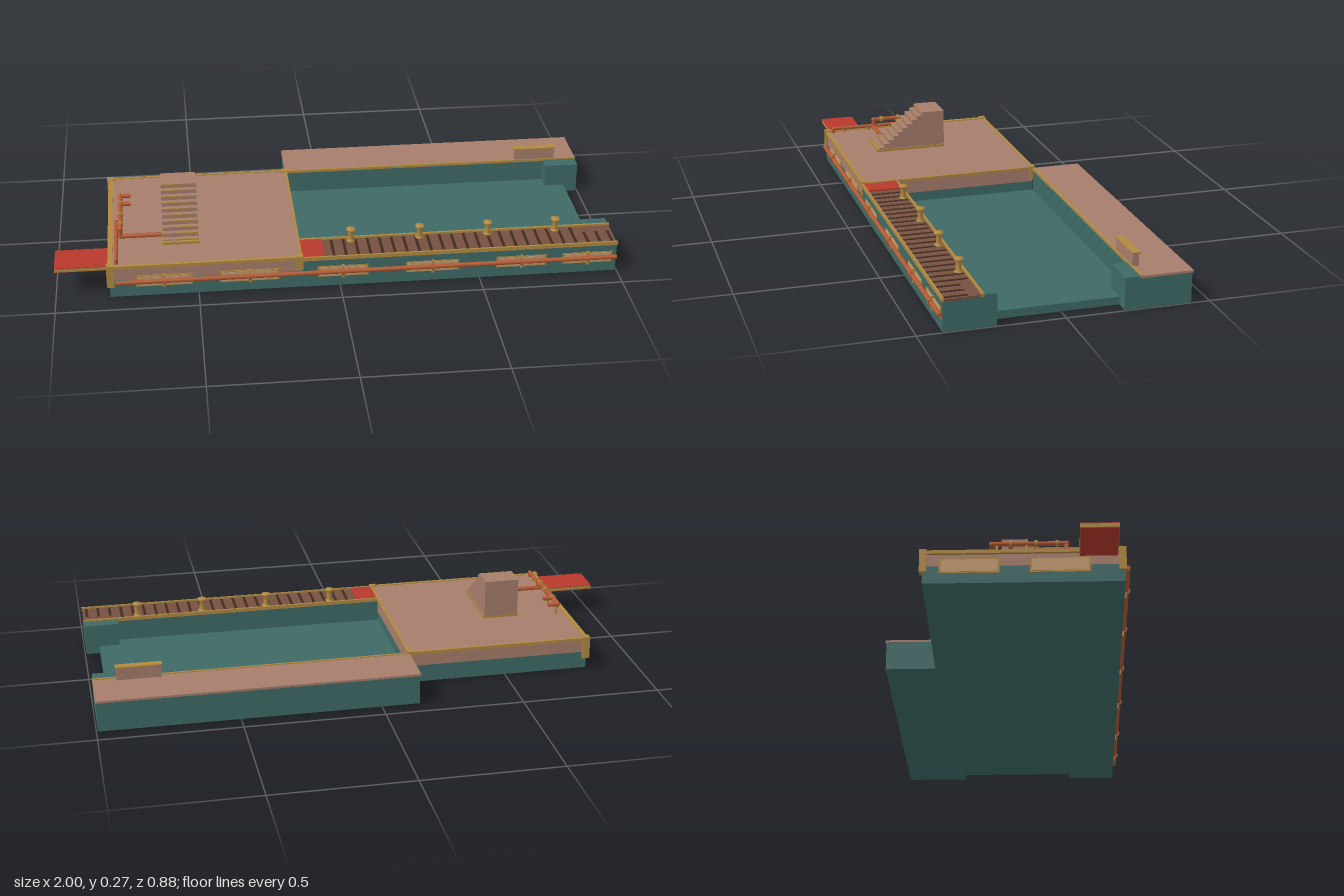
import * as THREE from 'three';

export function createModel() {
  const root = new THREE.Group();
  const mat = (name, color) => {
    const m = new THREE.MeshStandardMaterial({ color });
    m.name = name;
    return m;
  };
  const teal = mat('teal hull', 0x3e6a66);
  const clay = mat('clay deck', 0xa67d6c);
  const gold = mat('gold trim', 0xb08840);
  const rust = mat('rust pipe', 0xb25a32);
  const red = mat('red ramp', 0xb8382c);
  const brown = mat('brown planks', 0x75503f);
  const dark = mat('dark gaps', 0x402a20);
  const tan = mat('tan panels', 0xc29a70);

  // Box given by its limits on each axis
  const box = (name, m, x0, x1, y0, y1, z0, z1, parent = root) => {
    const b = new THREE.Mesh(new THREE.BoxGeometry(x1 - x0, y1 - y0, z1 - z0), m);
    b.position.set((x0 + x1) / 2, (y0 + y1) / 2, (z0 + z1) / 2);
    b.name = name;
    parent.add(b);
    return b;
  };
  // Straight round bar between two points
  const bar = (name, m, a, b, r, parent = root) => {
    const p = new THREE.Vector3(...a), q = new THREE.Vector3(...b);
    const d = q.clone().sub(p);
    const c = new THREE.Mesh(new THREE.CylinderGeometry(r, r, d.length(), 12), m);
    c.position.copy(p).add(q).multiplyScalar(0.5);
    c.quaternion.setFromUnitVectors(new THREE.Vector3(0, 1, 0), d.normalize());
    c.name = name;
    parent.add(c);
    return c;
  };
  // Run of bars with round elbows
  const pipe = (name, pts, r) => {
    const g = new THREE.Group();
    g.name = name;
    for (let i = 1; i < pts.length; i++) {
      bar('pipeRun', rust, pts[i - 1], pts[i], r, g);
      if (i < pts.length - 1) {
        const e = new THREE.Mesh(new THREE.SphereGeometry(r * 1.15, 12, 8), rust);
        e.position.set(...pts[i]);
        e.name = 'pipeElbow';
        g.add(e);
      }
    }
    root.add(g);
  };

  // Hull: end platform, basin floor, front quay and rear quay
  box('platformHull', teal, -0.81, -0.137, 0, 0.063, -0.255, 0.412);
  box('platformDeck', clay, -0.805, -0.137, 0.063, 0.118, -0.255, 0.408);
  box('basinFloor', teal, -0.137, 0.945, 0, 0.028, -0.262, 0.285);
  box('frontQuay', teal, -0.137, 0.995, 0, 0.104, 0.28, 0.413);
  box('rearQuay', teal, -0.137, 0.995, 0, 0.107, -0.436, -0.256);
  box('rearDeck', clay, -0.14, 0.998, 0.107, 0.115, -0.44, -0.256);
  box('frontGateBlock', teal, 0.87, 0.995, 0, 0.113, 0.232, 0.282);
  box('rearGateBlock', teal, 0.87, 0.995, 0, 0.113, -0.258, -0.202);

  // Plank walkway with dark gaps
  box('walkway', brown, -0.055, 0.995, 0.104, 0.112, 0.282, 0.41);
  for (let i = 0; i < 24; i++) {
    const x = -0.025 + i * 0.0435;
    box('plankGap', dark, x, x + 0.01, 0.112, 0.1135, x > 0.86 ? 0.325 : 0.288, 0.404);
  }
  box('redPlate', red, -0.135, -0.055, 0.104, 0.117, 0.282, 0.408);

  // Gold edging
  box('walkwayInnerEdge', gold, -0.137, 0.998, 0.106, 0.119, 0.276, 0.284);
  box('walkwayOuterEdge', gold, -0.137, 0.998, 0.104, 0.118, 0.408, 0.415);
  box('rearEdge', gold, -0.137, 0.998, 0.109, 0.118, -0.262, -0.254);
  box('platformFrontEdge', gold, -0.815, -0.137, 0.11, 0.121, 0.402, 0.414);
  box('platformRearEdge', gold, -0.815, -0.137, 0.11, 0.121, -0.262, -0.252);
  box('platformEndEdge', gold, -0.815, -0.798, 0.108, 0.121, -0.26, 0.412);
  box('platformInnerEdge', gold, -0.141, -0.133, 0.112, 0.121, -0.26, 0.41);
  for (const z of [-0.253, 0.405]) {
    box('endPost', gold, -0.82, -0.793, 0.04, 0.124, z - 0.012, z + 0.012);
    box('innerPost', gold, -0.155, -0.131, 0.07, 0.124, z - 0.011, z + 0.011);
  }

  // Boarding ramp
  box('rampFrame', gold, -1, -0.81, 0.097, 0.11, 0.263, 0.39);
  box('rampTop', red, -1, -0.81, 0.11, 0.113, 0.263, 0.39);
  box('rampUnderside', red, -0.998, -0.81, 0.095, 0.097, 0.265, 0.388);

  // Stepped block, a side profile pushed across x
  const steps = 10, s = new THREE.Shape();
  s.moveTo(0, 0.118);
  s.lineTo(0, 0.265);
  s.lineTo(-0.09, 0.265);
  for (let i = 1; i <= steps; i++) {
    const y = 0.265 - i * 0.0147;
    s.lineTo(-0.09 - (i - 1) * 0.019, y);
    if (i < steps) s.lineTo(-0.09 - i * 0.019, y);
  }
  const stairs = new THREE.Mesh(
    new THREE.ExtrudeGeometry(s, { depth: 0.128, bevelEnabled: false }), clay);
  stairs.rotation.y = Math.PI / 2;
  stairs.position.x = -0.618;
  stairs.name = 'stairs';
  root.add(stairs);
  for (let i = 0; i < steps; i++) {
    const y = 0.265 - i * 0.0147, z = 0.09 + i * 0.019;
    box('stepNosing', gold, -0.618, -0.49, y - 0.002, y + 0.0006, z - 0.002, z + 0.0006);
  }
  box('stairFoot', gold, -0.621, -0.487, 0.118, 0.128, 0, 0.272);

  // Deck pipework
  pipe('upperPipe', [[-0.73, 0.165, -0.028], [-0.768, 0.165, -0.028], [-0.768, 0.165, 0.222],
    [-0.768, 0.135, 0.222], [-0.62, 0.135, 0.222]], 0.008);
  pipe('branchPipe', [[-0.768, 0.165, 0.035], [-0.73, 0.165, 0.035]], 0.008);
  pipe('lowerPipe', [[-0.784, 0.135, 0.11], [-0.784, 0.135, 0.386], [-0.784, 0.108, 0.386]], 0.007);
  for (const z of [0.035, 0.12, 0.19])
    bar('pipeCollar', gold, [-0.768, 0.165, z - 0.005], [-0.768, 0.165, z + 0.005], 0.012);
  for (const z of [-0.01, 0.09]) bar('pipeStand', gold, [-0.768, 0.117, z], [-0.768, 0.16, z], 0.005);
  for (const z of [0.14, 0.24, 0.34]) bar('lowPipeStand', gold, [-0.784, 0.117, z], [-0.784, 0.13, z], 0.006);

  // Mooring bollards
  const profile = [[0, 0], [0.016, 0], [0.016, 0.004], [0.01, 0.008], [0.01, 0.038],
    [0.016, 0.042], [0.016, 0.05], [0, 0.052]].map(p => new THREE.Vector2(...p));
  for (const x of [0.05, 0.298, 0.545, 0.792]) {
    const b = new THREE.Mesh(new THREE.LatheGeometry(profile, 12), gold);
    b.position.set(x, 0.114, 0.302);
    b.name = 'bollard';
    root.add(b);
  }

  // Low wall on the rear quay
  box('lowWall', clay, 0.757, 0.913, 0.115, 0.16, -0.28, -0.258);
  box('lowWallCap', gold, 0.753, 0.917, 0.16, 0.165, -0.284, -0.255);

  // Front fender rail, wall panels and brackets
  bar('fenderRail', rust, [-0.79, 0.06, 0.422], [0.995, 0.06, 0.422], 0.008);
  for (const [x, w] of [[-0.62, 0.2], [-0.32, 0.21], [0.01, 0.18], [0.33, 0.19], [0.65, 0.18], [0.89, 0.18]]) {
    box('panelFrame', gold, x - w / 2, x + w / 2, 0.037, 0.08, 0.41, 0.414);
    box('wallPanel', tan, x - w / 2 + 0.007, x + w / 2 - 0.007, 0.041, 0.076, 0.412, 0.416);
    box('railBracket', gold, x - 0.004, x + 0.004, 0.034, 0.084, 0.413, 0.422);
    bar('railClamp', rust, [x - 0.004, 0.06, 0.422], [x + 0.004, 0.06, 0.422], 0.013);
  }
  // Panels on the platform's end wall
  for (const z of [-0.1, 0.2]) {
    box('endPanelFrame', gold, -0.814, -0.803, 0.036, 0.09, z - 0.1, z + 0.1);
    box('endPanel', tan, -0.816, -0.808, 0.041, 0.085, z - 0.093, z + 0.093);
  }
  return root;
}
